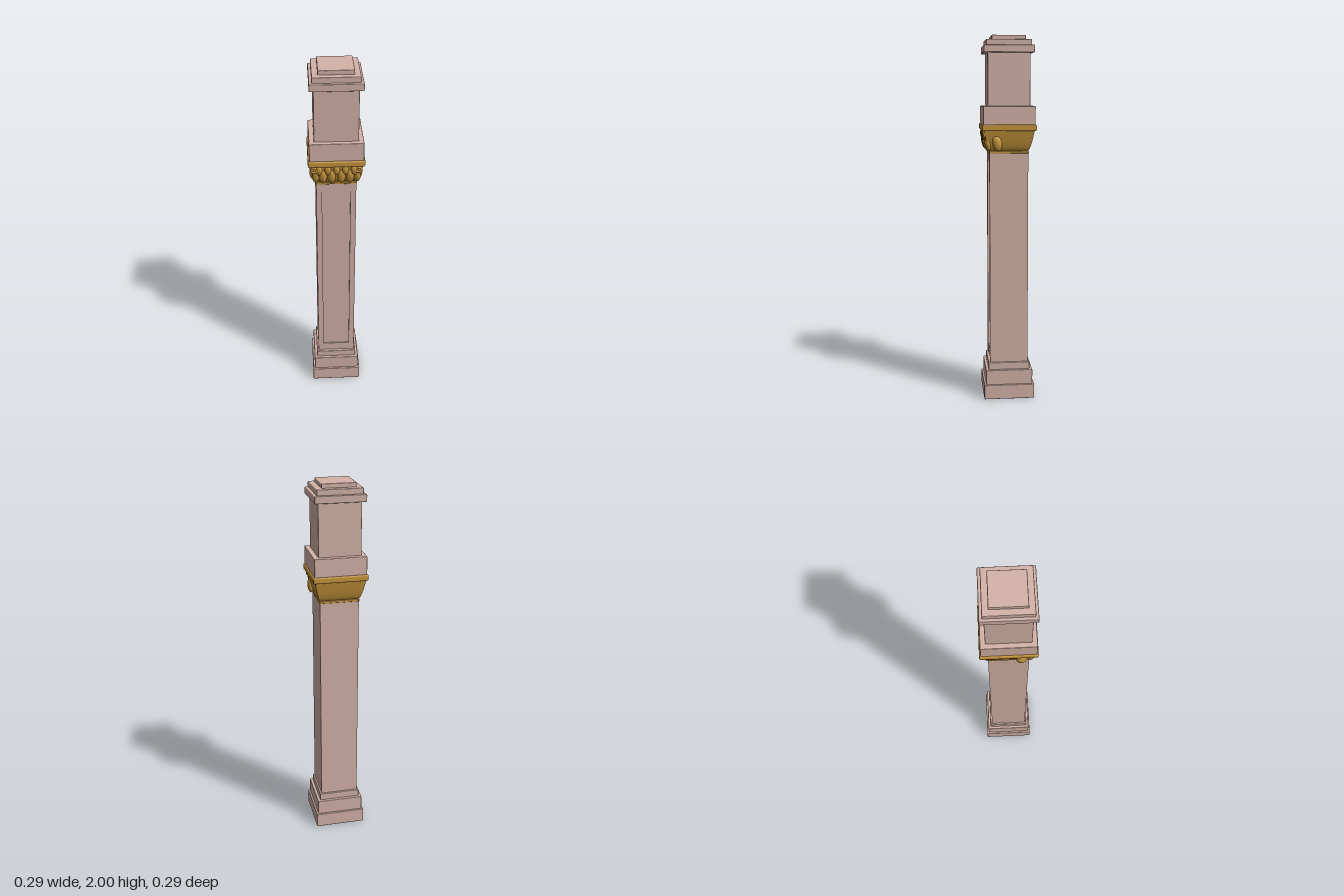
import * as THREE from 'three';
import { RoundedBoxGeometry } from 'three/addons/geometries/RoundedBoxGeometry.js';
import { toCreasedNormals } from 'three/addons/utils/BufferGeometryUtils.js';

const stone = new THREE.MeshStandardMaterial({ color: 0xd4b3a8 });
const gold = new THREE.MeshStandardMaterial({ color: 0xc8963c });

export function createModel() {
  const model = new THREE.Group();
  model.name = 'column';

  const add = (name, geometry, material, x = 0, y = 0, z = 0, parent = model) => {
    const mesh = new THREE.Mesh(geometry, material);
    mesh.name = name;
    mesh.position.set(x, y, z);
    parent.add(mesh);
    return mesh;
  };

  // Square slab with slightly eased edges, from y0 to y1
  const slab = (name, half, y0, y1, material = stone, bevel = 0.004) =>
    add(name, new RoundedBoxGeometry(half * 2, y1 - y0, half * 2, 1, bevel), material, 0, (y0 + y1) / 2, 0);

  // Stepped base
  slab('basePlinth', 0.14, 0, 0.082);
  slab('baseMiddle', 0.13, 0.08, 0.165);
  slab('baseTop', 0.115, 0.163, 0.205);

  // Shaft core, with frame strips around a sunken front panel
  const y0 = 0.2, y1 = 1.38, face = 0.105, panelZ = 0.094;
  const box = (name, w, h, zBack, zFront, x, y) =>
    add(name, new THREE.BoxGeometry(w, h, zFront - zBack), stone, x, y, (zBack + zFront) / 2);
  box('shaft', face * 2, y1 - y0, -face, panelZ, 0, (y0 + y1) / 2);
  for (const s of [-1, 1]) box('panelStile', 0.03, y1 - y0, panelZ, face, s * 0.09, (y0 + y1) / 2);
  box('lowerRail', 0.15, 0.055, panelZ, 0.1, 0, 0.2275);
  box('upperRail', 0.15, 0.055, panelZ, 0.1, 0, 1.3525);

  // Gilded capital: neck band, flared square bell and abacus
  const capital = new THREE.Group();
  capital.name = 'capital';
  model.add(capital);
  slab('neckBand', 0.108, 1.374, 1.388, gold);
  const profile = new THREE.SplineCurve([
    [0.1, 1.385], [0.111, 1.4], [0.121, 1.43], [0.129, 1.465], [0.136, 1.5],
  ].map(([r, y]) => new THREE.Vector2(r * Math.SQRT2, y))).getPoints(16);
  const bell = new THREE.LatheGeometry(profile, 4).rotateY(Math.PI / 4);
  add('bell', toCreasedNormals(bell, 0.6), gold, 0, 0, 0, capital);
  slab('abacus', 0.147, 1.496, 1.53, gold, 0.008);

  // Leaves in two staggered rows on the front
  const leaf = (name, x, y, z, rx, ry, rz) => {
    const mesh = add(name, new THREE.SphereGeometry(1, 20, 14), gold, x, y, z, capital);
    mesh.scale.set(rx, ry, rz);
    mesh.rotation.x = 0.2;
  };
  for (const x of [-0.07, -0.025, 0.025, 0.07]) leaf('lowerLeaf', x, 1.43, 0.122, 0.021, 0.042, 0.016);
  for (const x of [-0.09, -0.045, 0, 0.045, 0.09]) leaf('upperLeaf', x, 1.47, 0.129, 0.018, 0.03, 0.014);

  // Side leaves and scrolls near the front corners
  for (const s of [-1, 1]) {
    leaf('sideLeaf', s * 0.123, 1.43, 0.065, 0.016, 0.043, 0.026);
    leaf('cornerLeaf', s * 0.108, 1.43, 0.115, 0.018, 0.04, 0.016);
    add('scroll', new THREE.TorusGeometry(0.013, 0.006, 10, 24), gold, s * 0.115, 1.475, 0.135, capital);
    add('scrollEye', new THREE.SphereGeometry(0.007, 12, 8), gold, s * 0.115, 1.475, 0.136, capital);
  }

  // Upper block, short pier and stepped cap
  slab('upperBlock', 0.14, 1.528, 1.628);
  slab('upperPier', 0.114, 1.62, 1.91, stone, 0.003);
  slab('capLower', 0.135, 1.908, 1.947);
  slab('capMiddle', 0.121, 1.945, 1.977);
  slab('capTop', 0.091, 1.975, 2);

  return model;
}
